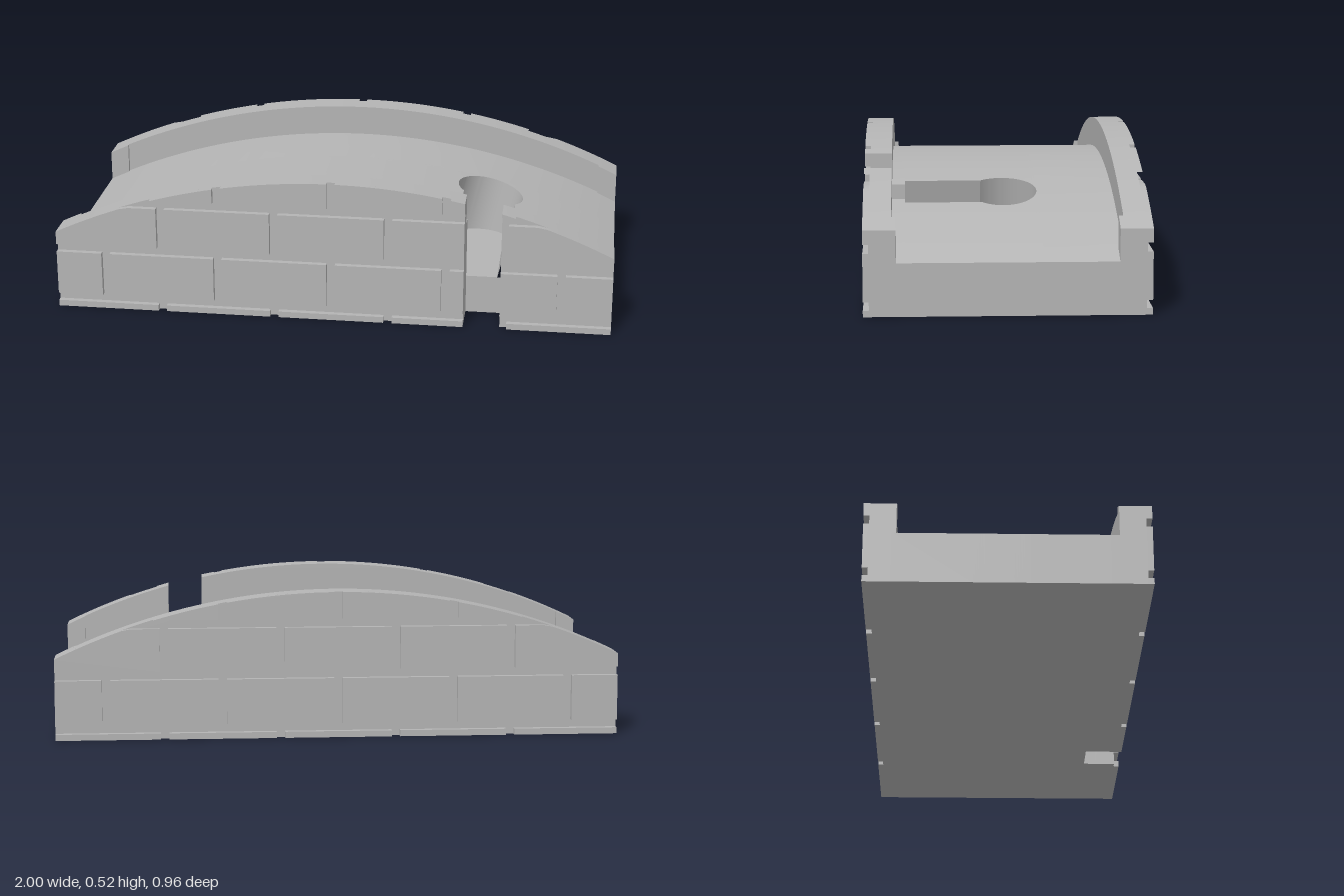
import * as THREE from 'three';
import { toCreasedNormals } from 'three/addons/utils/BufferGeometryUtils.js';

const R = 2.29;                       // radius of the bridge arch
const WALL = 0.52, DECK = 0.41;       // crown heights of parapet and deck
const NOTCH = [0.475, 0.605];         // gap through the front wall
const arch = (x, crown) => crown - R + Math.sqrt(R * R - x * x);

export function createModel() {
  const stone = new THREE.MeshStandardMaterial({ color: 0xb4b4b4 });
  stone.name = 'grey stone';
  const model = new THREE.Group();
  model.name = 'archedBridge';

  const add = (name, geometry, parent = model) => {
    const mesh = new THREE.Mesh(toCreasedNormals(geometry, 0.4), stone);
    mesh.name = name;
    parent.add(mesh);
  };

  // Upright slab with its top cut by the arch, between two z planes
  function slab(name, x0, x1, y0, y1, crown, z0, z1, parent) {
    const reach = Math.sqrt(Math.max(0, R * R - (R - crown + y0) ** 2));
    x0 = Math.max(x0, -reach);
    x1 = Math.min(x1, reach);
    if (x1 - x0 < 0.004) return;
    const points = [new THREE.Vector2(x0, y0), new THREE.Vector2(x1, y0)];
    const n = Math.max(4, Math.ceil((x1 - x0) * 28));
    for (let i = 0; i <= n; i++) {
      const x = x1 + (x0 - x1) * i / n;
      const y = Math.min(y1, arch(x, crown));
      if (y > y0 + 1e-4) points.push(new THREE.Vector2(x, y));
    }
    const g = new THREE.ExtrudeGeometry(new THREE.Shape(points), { depth: z1 - z0, bevelEnabled: false });
    add(name, g.translate(0, 0, z0), parent);
  }

  // Road deck: sections along z, with a leaning keyhole socket cut into it
  const cx = 0.537, radius = 0.12, slotHalf = 0.095, floorY = 0.14, lean = 0.25;
  const stations = [[-0.385, 0, false], [-radius, 0, false]];
  const tEnd = Math.PI - Math.asin(slotHalf / radius);
  for (let i = 0; i <= 28; i++) {
    const t = tEnd * i / 28;
    stations.push([-radius * Math.cos(t), radius * Math.sin(t), true]);
  }
  stations.push([0.34, slotHalf, true]);

  function section(half, cut) {
    const pts = [[-1, 0]];
    const xl = cx - half, xr = cx + half;
    const run = (a, b, n) => {
      for (let i = 0; i <= n; i++) {
        const x = a + (b - a) * i / n;
        pts.push([x, arch(x, DECK)]);
      }
    };
    const foot = x => {
      const y = arch(x, DECK);
      pts.push(cut ? [x - lean * (y - floorY), floorY] : [x, y]);
    };
    run(-1, xl, 40);
    foot(xl);
    foot(xr);
    run(xr, 1, 16);
    pts.push([1, 0], [-1, 0]);
    return pts;
  }

  const position = [], index = [];
  const sections = stations.map(([, half, cut]) => section(half, cut));
  const count = sections[0].length;
  sections.forEach((pts, j) => pts.forEach(([x, y], i) => {
    position.push(x, y, stations[j][0]);
    if (j < sections.length - 1 && i < count - 1) {
      const a = j * count + i, c = a + count;
      index.push(a, c, a + 1, a + 1, c, c + 1);
    }
  }));
  const deck = new THREE.BufferGeometry();
  deck.setAttribute('position', new THREE.Float32BufferAttribute(position, 3));
  deck.setIndex(index);
  add('roadDeck', deck);

  // Sill below the socket mouth
  const sill = new THREE.PlaneGeometry(NOTCH[1] - NOTCH[0], floorY);
  add('socketSill', sill.translate((NOTCH[0] + NOTCH[1]) / 2, floorY / 2, 0.34));

  // Parapet cores; the front one is split by the notch
  const frontSpans = [[-1, NOTCH[0]], [NOTCH[1], 1]];
  for (const [a, b] of frontSpans) {
    slab('deckFrontEdge', a, b, 0, 1, DECK, 0.34, 0.385);
    slab('frontParapet', a, b, 0, 1, WALL, 0.385, 0.46);
  }
  slab('backParapet', -1, 1, 0, 1, WALL, -0.46, -0.385);

  // Thicker posts at the parapet ends
  for (const [a, b] of [[-1, -0.93], [0.93, 1]]) {
    slab('frontEndPost', a, b, 0.1, 1, WALL, 0.37, 0.39);
    slab('backEndPost', a, b, 0.1, 1, WALL, -0.39, -0.37);
  }

  // Brick courses: bottom, top and joint positions
  const odd = [-0.615, -0.205, 0.205, 0.615];
  const even = [-0.82, -0.41, 0, 0.41, 0.82];
  const courses = [
    [0, 0.022, odd], [0.05, 0.213, even], [0.243, 0.395, odd], [0.425, 1, even],
  ];
  const joint = 0.015;
  const sides = [
    ['frontBricks', frontSpans, 0.46, 0.48],
    ['backBricks', [[-1, 1]], -0.48, -0.46],
  ];
  for (const [name, spans, z0, z1] of sides) {
    const group = new THREE.Group();
    group.name = name;
    model.add(group);
    for (const [y0, y1, joints] of courses) {
      const edges = [-1 - joint, ...joints, 1 + joint];
      for (let i = 0; i < edges.length - 1; i++) {
        for (const [a, b] of spans) {
          slab('brick', Math.max(a, edges[i] + joint), Math.min(b, edges[i + 1] - joint),
            y0, y1, WALL, z0, z1, group);
        }
      }
    }
  }
  return model;
}
